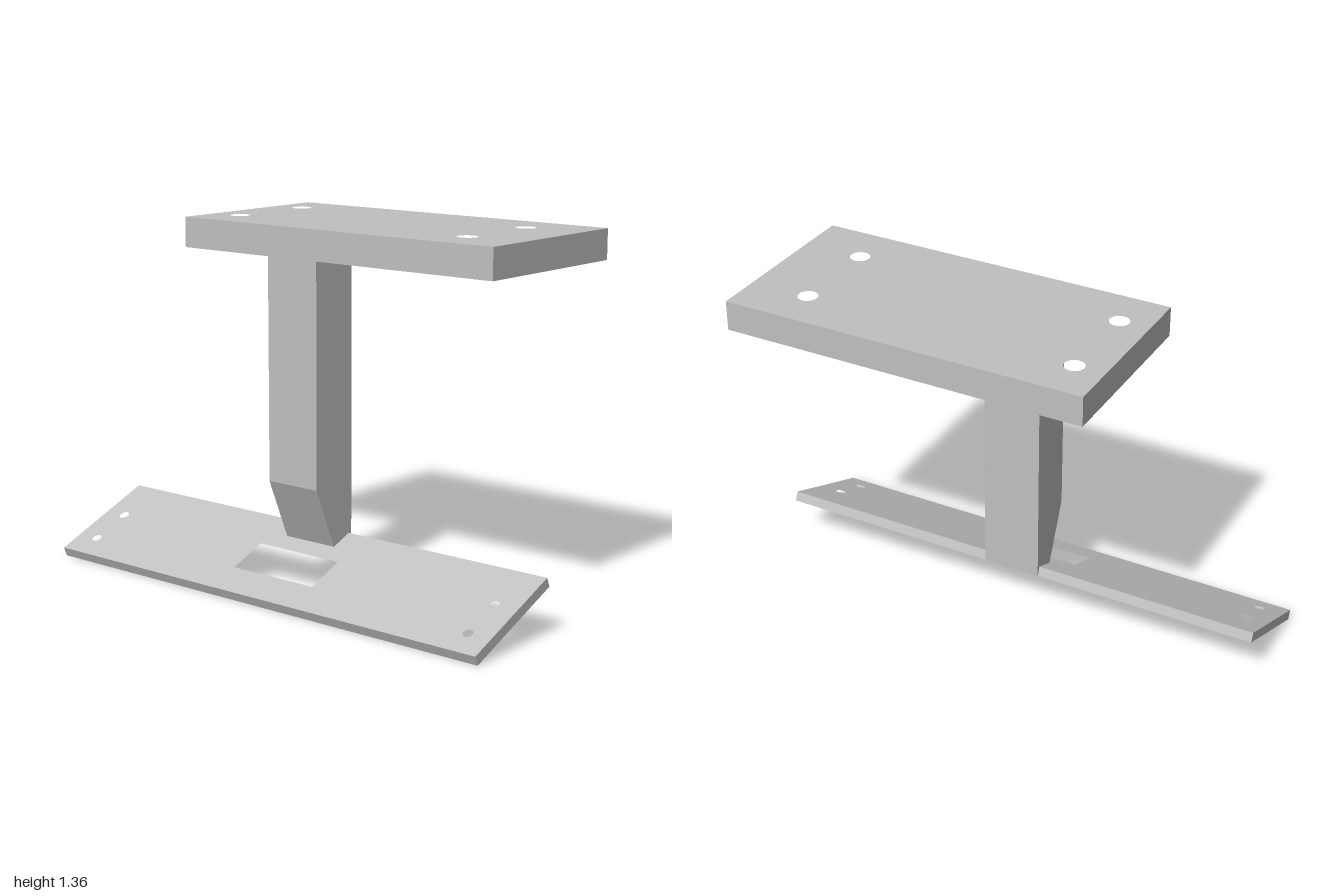
import * as THREE from 'three';

const grey = new THREE.MeshStandardMaterial({ color: 0xc0c0c0 });
grey.name = 'plainGrey';

// Rectangle outline, in x and -z
function rectangle(path, x0, x1, z0, z1) {
  path.moveTo(x0, -z0);
  path.lineTo(x1, -z0);
  path.lineTo(x1, -z1);
  path.lineTo(x0, -z1);
  path.closePath();
  return path;
}

// Flat plate lying on y = 0 with round holes and optional cut-outs
function plate(name, [x0, x1, z0, z1], thickness, holeXs, holeZs, radius, cutouts = []) {
  const shape = rectangle(new THREE.Shape(), x0, x1, z0, z1);
  for (const x of holeXs) {
    for (const z of holeZs) {
      shape.holes.push(new THREE.Path().absarc(x, -z, radius, 0, Math.PI * 2, true));
    }
  }
  for (const c of cutouts) shape.holes.push(rectangle(new THREE.Path(), ...c));
  const geometry = new THREE.ExtrudeGeometry(shape, {
    depth: thickness, bevelEnabled: false, curveSegments: 24,
  });
  geometry.rotateX(-Math.PI / 2);
  const mesh = new THREE.Mesh(geometry, grey);
  mesh.name = name;
  return mesh;
}

export function createModel() {
  const group = new THREE.Group();
  group.name = 'mountingBracket';

  // Thick mounting plate, offset to one side of the post
  const top = plate('topPlate', [-0.53, 0.88, -0.4675, 0.234], 0.114,
    [-0.413, 0.646], [-0.296, 0.057], 0.0375);
  top.position.y = 1.243;
  group.add(top);

  // Thin lower plate, tilted down towards the front, with a window
  const lower = plate('tiltedPlate', [-1, 1, 0, 0.451], 0.038,
    [-0.905, 0.905], [0.19, 0.354], 0.019, [[-0.19, 0.19, 0.166, 0.323]]);
  lower.rotation.x = Math.PI / 8;
  lower.position.set(0, 0.1726, 0.036);
  group.add(lower);

  // Post with a chamfered front foot
  const profile = new THREE.Shape([
    [0.036, 0.1726], [0.137, 0.1726], [0.234, 0.405], [0.234, 1.243], [0.036, 1.243],
  ].map(([z, y]) => new THREE.Vector2(z, y)));
  const postGeometry = new THREE.ExtrudeGeometry(profile, { depth: 0.23, bevelEnabled: false });
  postGeometry.translate(0, 0, -0.115);
  postGeometry.rotateY(-Math.PI / 2);
  const post = new THREE.Mesh(postGeometry, grey);
  post.name = 'post';
  group.add(post);

  return group;
}
